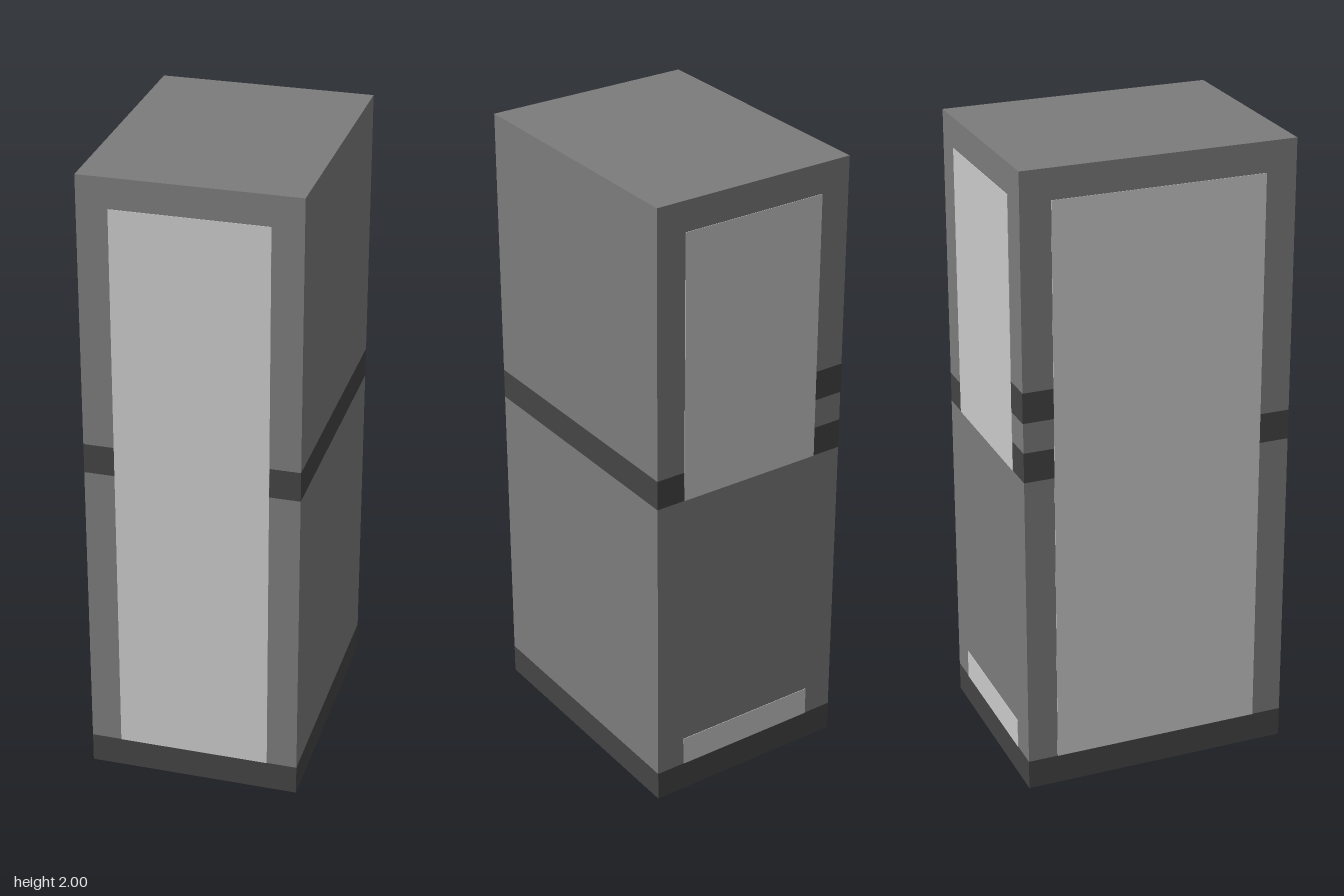
import * as THREE from 'three';

// One grid unit: the cabinet is 7 wide, 21 tall and 9 deep
const U = 2 / 21;
const W = 7, D = 9;
const PROUD = 0.0015; // how far painted plates stand off the body

export function createModel() {
  const make = (name, color) => {
    const m = new THREE.MeshStandardMaterial({ color });
    m.name = name;
    return m;
  };
  const grey = make('mid grey', 0x7c7c7c);
  const dark = make('dark grey', 0x444444);
  const light = make('light grey', 0xcacaca);

  const model = new THREE.Group();
  model.name = 'cabinet';

  // Box between two corners, given in grid units
  const block = (name, material, [x0, x1], [y0, y1], [z0, z1]) => {
    const geometry = new THREE.BoxGeometry((x1 - x0) * U, (y1 - y0) * U, (z1 - z0) * U);
    const mesh = new THREE.Mesh(geometry, material);
    mesh.name = name;
    mesh.position.set((x0 + x1) / 2 * U, (y0 + y1) / 2 * U, (z0 + z1) / 2 * U);
    model.add(mesh);
  };

  // Body in stacked sections
  const X = [-W / 2, W / 2], Z = [-D / 2, D / 2];
  block('base', dark, X, [0, 1], Z);
  block('lowerBody', grey, X, [1, 11], Z);
  block('middleBand', dark, X, [11, 12], Z);
  block('upperBody', grey, X, [12, 21], Z);

  // Thin plates on the faces
  const p = PROUD / U;
  const front = [D / 2 - p, D / 2 + p];
  const back = [-D / 2 - p, -D / 2 + p];
  const side = [-W / 2 - p, -W / 2 + p];
  block('frontPanel', light, [-2.5, 2.5], [1, 20], front);
  block('backUpperPanel', light, [-2.5, 2.5], [11, 20], back);
  block('backLowerStrip', light, [-2.5, 2.5], [1, 2], back);
  block('sidePanel', light, side, [1, 20], [-3.5, 3.5]);

  // Short second band wrapping the rear corner
  block('cornerMark', dark, [-W / 2 - p, -2.5], [13, 14], [-D / 2 - p, -3.5]);

  return model;
}
